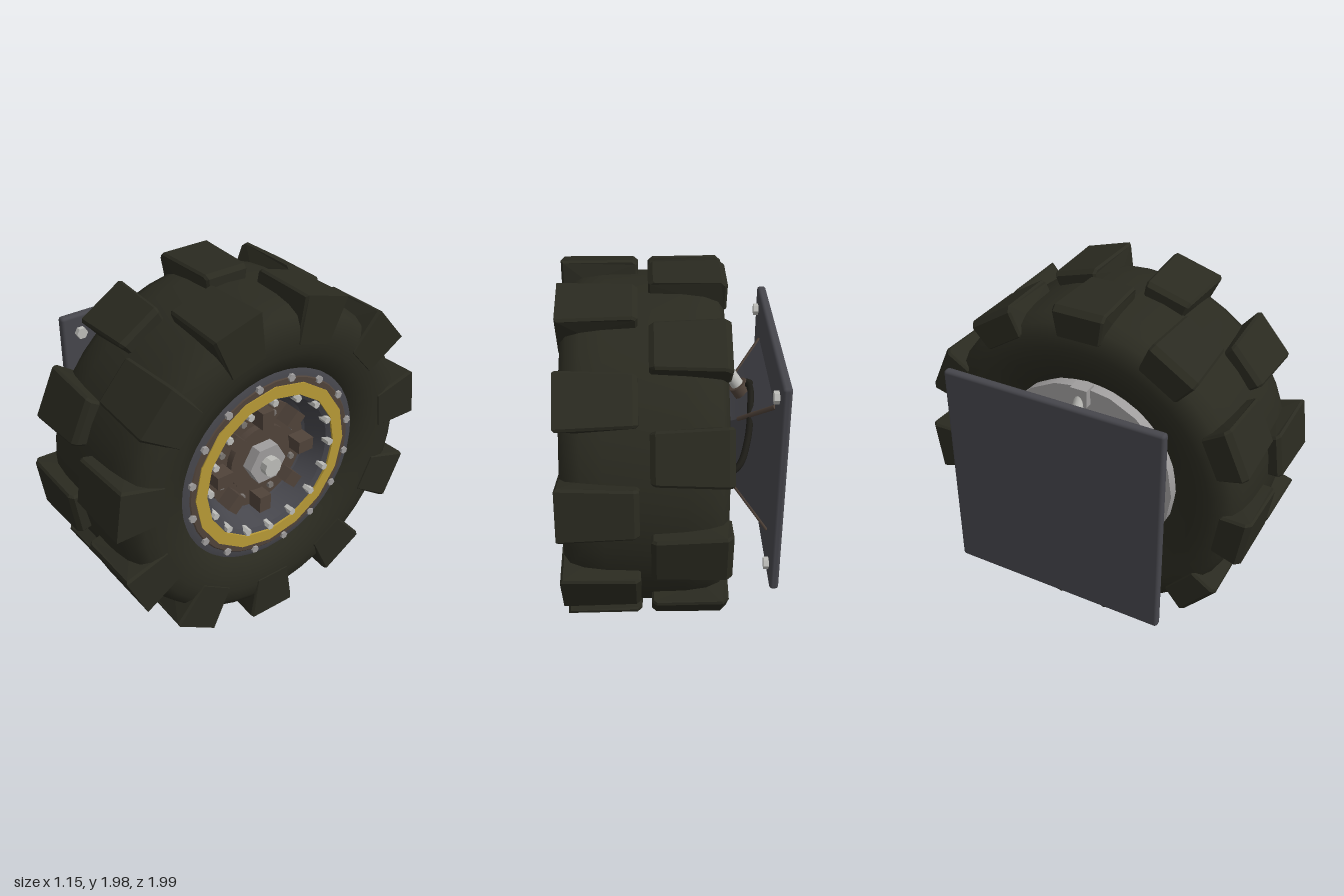
import * as THREE from 'three';
import { toCreasedNormals } from 'three/addons/utils/BufferGeometryUtils.js';
import { RoundedBoxGeometry } from 'three/addons/geometries/RoundedBoxGeometry.js';

const mat = (name, color) => {
  const m = new THREE.MeshStandardMaterial({ color });
  m.name = name;
  return m;
};

export function createModel() {
  const rubber = mat('rubber', 0x2a2a20);
  const frame = mat('frame grey', 0x46464c);
  const rust = mat('rusty brown', 0x50433a);
  const yellow = mat('yellow paint', 0xb89a36);
  const steel = mat('bright steel', 0xbdbdb9);
  const backGrey = mat('drum grey', 0x9f9d9d);
  const dull = mat('dull bolt grey', 0x7b7672);
  const black = mat('hose black', 0x1d1c17);

  const root = new THREE.Group();
  root.name = 'wheelAssembly';
  const axle = new THREE.Group(); // origin on the wheel axis
  axle.name = 'axle';
  axle.position.y = 0.995;
  root.add(axle);

  const add = (name, geo, material, parent = axle) => {
    const m = new THREE.Mesh(geo, material);
    m.name = name;
    parent.add(m);
    return m;
  };
  // Profile of [radius, x] pairs turned about the wheel axis
  const turn = (name, pts, material, segs = 32, crease = 0.5, start = 0) => {
    const g = new THREE.LatheGeometry(pts.map(p => new THREE.Vector2(...p)), segs, start);
    return add(name, toCreasedNormals(g.rotateZ(-Math.PI / 2), crease), material);
  };
  // Disc or prism along the wheel axis
  const disc = (name, r, x0, x1, material, segs, y = 0, z = 0, parent = axle) => {
    const g = new THREE.CylinderGeometry(r, r, x1 - x0, segs);
    g.rotateZ(-Math.PI / 2).translate((x0 + x1) / 2, y, z);
    return add(name, toCreasedNormals(g, 0.6), material, parent);
  };
  // Straight rod between two points
  const rod = (name, a, b, r, material, segs = 12) => {
    const A = new THREE.Vector3(...a), B = new THREE.Vector3(...b);
    const m = add(name, new THREE.CylinderGeometry(r, r, A.distanceTo(B), segs), material);
    m.position.copy(A).lerp(B, 0.5);
    m.quaternion.setFromUnitVectors(new THREE.Vector3(0, 1, 0), B.sub(A).normalize());
  };
  // Repeats a part around the axle
  const around = (n, offset, make) => {
    for (let i = 0; i < n; i++) {
      const pivot = new THREE.Group();
      pivot.rotation.x = offset + (i / n) * Math.PI * 2;
      axle.add(pivot);
      make(pivot);
    }
  };

  // Tyre carcass with square shoulders, symmetric about its middle plane
  const mid = 0.1435;
  const half = [[0.5, -0.15], [0.55, -0.2], [0.6, -0.245], [0.68, -0.273], [0.76, -0.28],
    [0.83, -0.272], [0.88, -0.24], [0.91, -0.17], [0.922, -0.06]];
  const profile = [...half, ...half.slice().reverse().map(([r, x]) => [r, 2 * mid - x])];
  turn('tyre', profile, rubber, 44, 1.0);

  // Tread lugs: bent section wrapping from tread onto sidewall
  const makeLug = pts => {
    const section = new THREE.Shape(pts.map(q => new THREE.Vector2(...q)));
    const geo = new THREE.ExtrudeGeometry(section, {
      depth: 0.272, bevelThickness: 0.012, bevelSize: 0.012, bevelSegments: 1,
    }).translate(0, 0, -0.136);
    const p = geo.attributes.position;
    for (let i = 0; i < p.count; i++) {
      const along = THREE.MathUtils.lerp(0.84, 1, THREE.MathUtils.smoothstep(p.getX(i), 0.15, 0.27));
      const tip = THREE.MathUtils.lerp(0.74, 1, THREE.MathUtils.smoothstep(p.getY(i), 0.7, 0.98));
      p.setZ(i, p.getZ(i) * along * tip);
    }
    geo.computeVertexNormals();
    return geo;
  };
  const outerLug = makeLug([[0.182, 0.88], [0.182, 0.962], [0.2, 0.976], [0.563, 0.976],
    [0.56, 0.74], [0.5, 0.73], [0.44, 0.88]]);
  const innerLug = makeLug([[0.182, 0.88], [0.182, 0.962], [0.2, 0.976], [0.54, 0.976],
    [0.563, 0.955], [0.56, 0.83], [0.5, 0.8], [0.44, 0.88]]).rotateY(Math.PI).translate(2 * mid, 0, 0);
  around(11, Math.PI, g => add('outerLug', outerLug, rubber, g));
  around(11, 0, g => add('innerLug', innerLug, rubber, g));

  // Rim with dished face
  turn('rim', [[0.58, 0.45], [0.575, 0.508], [0.545, 0.517], [0.43, 0.517], [0.4, 0.5],
    [0.375, 0.44], [0.35, 0.38], [0.325, 0.36], [0.001, 0.36]], frame, 32);
  turn('rimInnerBand', [[0.538, 0.514], [0.528, 0.522], [0.49, 0.522]], rust, 32);
  turn('yellowRing', [[0.5, 0.516], [0.5, 0.528], [0.43, 0.528], [0.43, 0.516]], yellow, 16);
  around(16, 0, g => disc('ringBolt', 0.021, 0.48, 0.534, steel, 6, 0.405, 0, g));
  around(16, Math.PI / 16, g => disc('beadBolt', 0.022, 0.5, 0.534, backGrey, 6, 0.53, 0, g));

  // Hub
  disc('hubPlate', 0.325, 0.35, 0.385, rust, 32);
  disc('hubBoss', 0.2, 0.38, 0.425, rust, 24);
  around(8, 0, g => add('hubBlock',
    new THREE.BoxGeometry(0.11, 0.1, 0.075).translate(0.425, 0.275, 0), rust, g));
  around(8, Math.PI / 8, g => disc('hubBolt', 0.02, 0.38, 0.405, dull, 6, 0.26, 0, g));
  disc('hubNut', 0.12, 0.41, 0.49, backGrey, 6);
  disc('hubCap', 0.055, 0.48, 0.535, steel, 10);

  // Back of the wheel
  disc('brakeDrum', 0.535, -0.245, -0.1, backGrey, 20);

  // Mounting plate and its bolts
  add('mountPlate', new RoundedBoxGeometry(0.05, 1.26, 1.26, 2, 0.018).translate(-0.553, 0, 0), frame);
  for (const sy of [-1, 1]) for (const sz of [-1, 1]) {
    disc('plateBolt', 0.034, -0.535, -0.5, steel, 6, sy * 0.525, sz * 0.525);
    // Welded corner strips of the bracket
    rod('cornerStrip', [-0.53, sy * 0.395, sz * 0.395], [-0.36, sy * 0.222, sz * 0.222], 0.013, rust, 6);
  }

  // Square flared bracket
  const s = Math.SQRT2;
  turn('bracket', [[0.4 * s, -0.53], [0.3 * s, -0.43], [0.215 * s, -0.345], [0.19 * s, -0.315],
    [0.185 * s, -0.23]], frame, 4, 0.6, Math.PI / 4);

  // Strut from bracket to drum
  rod('strutCollar', [-0.42, 0.24, 0], [-0.37, 0.315, 0], 0.055, rust);
  rod('strutSleeve', [-0.395, 0.275, 0], [-0.31, 0.405, 0], 0.036, steel);
  rod('strutRod', [-0.32, 0.39, 0], [-0.255, 0.49, 0], 0.03, steel);
  add('strutMount', new THREE.BoxGeometry(0.08, 0.1, 0.1).translate(-0.245, 0.49, 0), backGrey);

  // Hose
  const path = new THREE.CatmullRomCurve3([[-0.4, 0.29, 0.02], [-0.43, 0.335, -0.05], [-0.425, 0.31, -0.2],
    [-0.4, 0.18, -0.36], [-0.35, 0.08, -0.46], [-0.29, 0.045, -0.48], [-0.23, 0.04, -0.48]]
    .map(q => new THREE.Vector3(...q)));
  add('hose', new THREE.TubeGeometry(path, 36, 0.018, 8), black);
  add('hoseFitting', new THREE.SphereGeometry(0.042, 12, 8).translate(-0.425, 0.3, 0), black);

  return root;
}
